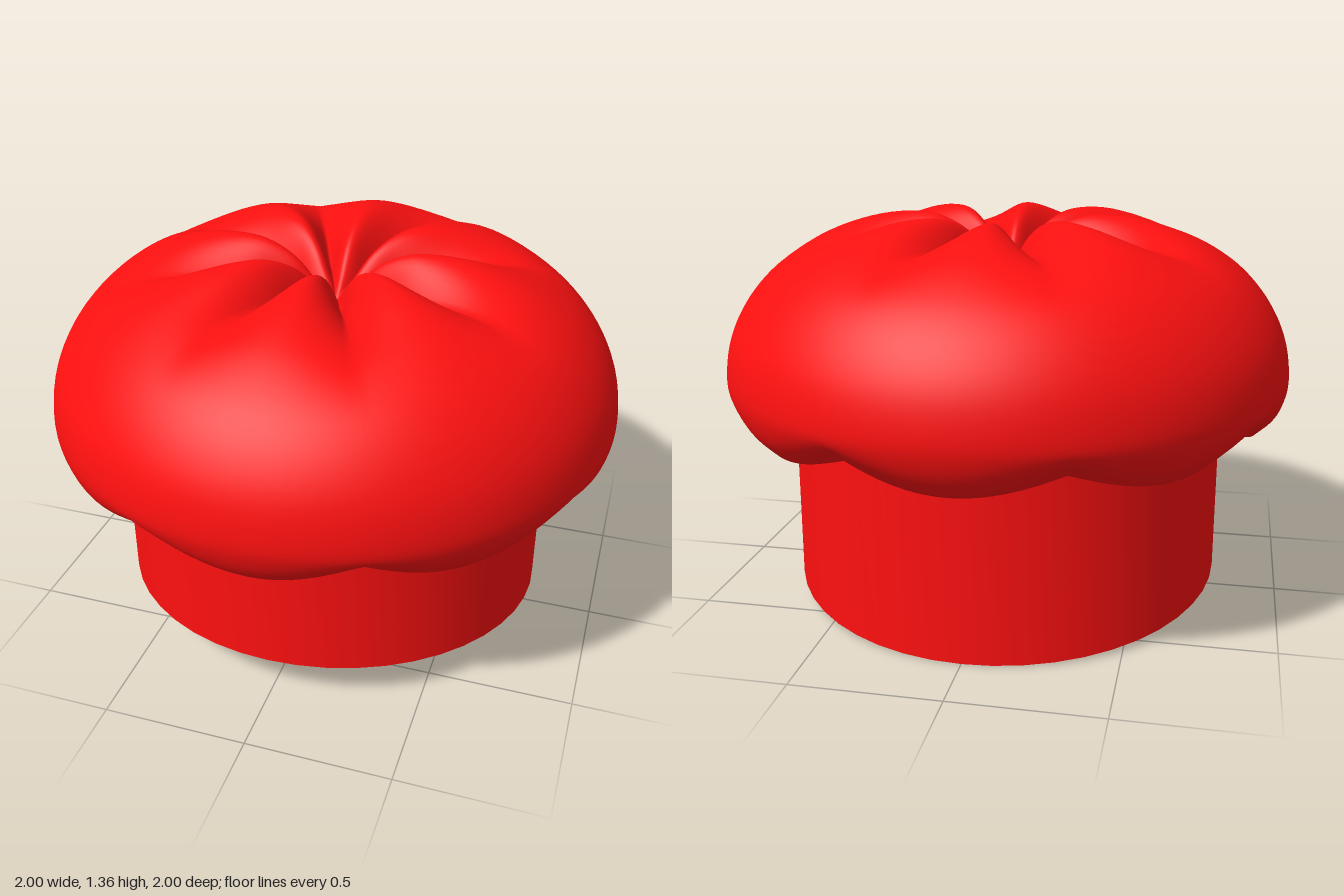
import * as THREE from 'three';
import { mergeVertices, toCreasedNormals } from 'three/addons/utils/BufferGeometryUtils.js';

const LOBES = 8;
const points = (list) => list.map(([r, y]) => new THREE.Vector2(r, y));

// Gathered crown: a revolved profile whose top and underside dip between the lobes
function crownGeometry() {
  const side = new THREE.SplineCurve(points([
    [0.9, 0.615], [0.955, 0.67], [0.987, 0.735], [1, 0.81], [0.985, 0.92], [0.945, 1.02],
    [0.88, 1.115], [0.79, 1.2], [0.66, 1.28], [0.5, 1.335], [0.36, 1.355], [0.25, 1.345],
    [0.15, 1.295], [0.07, 1.21], [0, 1.14],
  ])).getPoints(56);
  const profile = [...points([[0.75, 0.615], [0.8, 0.615], [0.85, 0.615]]), ...side];
  profile.forEach((p) => { p.x = Math.min(1, Math.max(0, p.x)); });
  profile[profile.length - 1].x = 0;

  let geometry = new THREE.LatheGeometry(profile, 128);
  geometry.deleteAttribute('uv');
  geometry.deleteAttribute('normal');
  const pos = geometry.attributes.position;
  for (let i = 0; i < pos.count; i++) {
    const x = pos.getX(i), y = pos.getY(i), z = pos.getZ(i);
    const r = Math.hypot(x, z);
    // 0 on the ridge of a lobe, 1 in the fold between two
    const fold = 1 - Math.abs(Math.cos(Math.atan2(x, z) * LOBES / 2));
    let shift = 0;
    if (y < 0.8) {
      shift = 0.07 * THREE.MathUtils.smoothstep(0.8 - y, 0, 0.18);
    } else {
      const fade = 1 - THREE.MathUtils.smoothstep(r, 0.2, 0.88);
      shift = -0.14 * fade * THREE.MathUtils.smoothstep(r, 0, 0.22);
    }
    pos.setY(i, y + shift * fold);
  }
  geometry = mergeVertices(geometry, 1e-4);
  geometry.computeVertexNormals();
  return geometry;
}

// Hollow band with a slanted lower rim and a short socket tube inside
function bandGeometry() {
  const geometry = new THREE.LatheGeometry(points([
    [0, 0.75], [0.34, 0.75], [0.34, 0.46], [0.44, 0.46], [0.44, 0.75],
    [0.73, 0.75], [0.73, 0], [0.77, 0], [0.77, 0.74],
  ]), 48);
  const pos = geometry.attributes.position;
  for (let i = 0; i < pos.count; i++) {
    if (pos.getY(i) < 0.01) pos.setY(i, 0.08 + 0.104 * pos.getZ(i));
  }
  return toCreasedNormals(geometry, 0.6);
}

export function createModel() {
  const group = new THREE.Group();
  group.name = 'chefHat';
  const red = new THREE.MeshStandardMaterial({ color: 0xff1010 });
  const add = (name, geometry) => {
    const mesh = new THREE.Mesh(geometry, red);
    mesh.name = name;
    group.add(mesh);
  };
  add('puffedCrown', crownGeometry());
  add('headBand', bandGeometry());
  return group;
}
